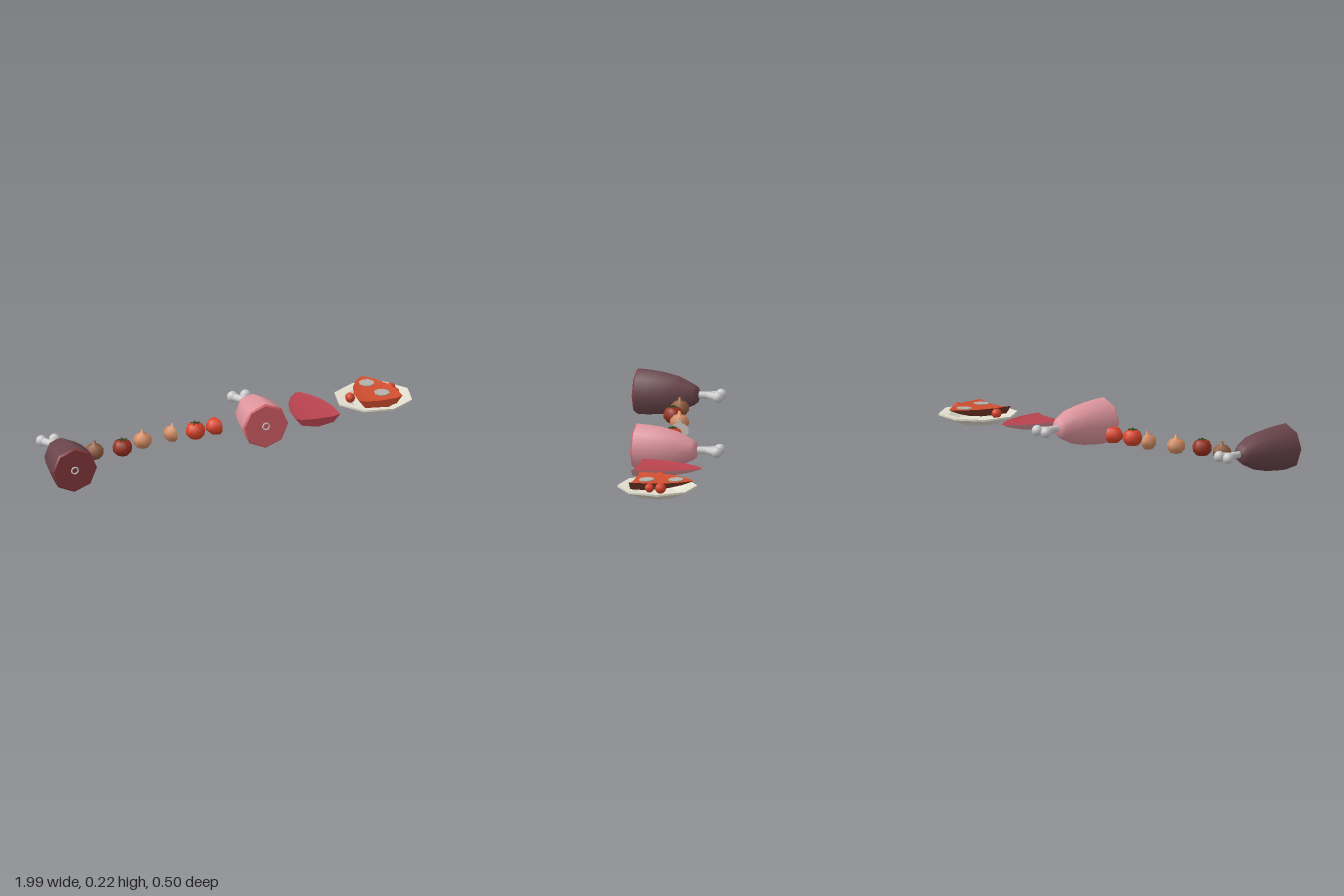
import * as THREE from 'three';

const V2 = (p) => new THREE.Vector2(p[0], p[1]);
const V3 = (x, y, z) => new THREE.Vector3(x, y, z);
const mat = (color, side = THREE.FrontSide) => new THREE.MeshStandardMaterial({ color, side });

function add(parent, name, geometry, color, pos = [0, 0, 0], side) {
  const mesh = new THREE.Mesh(geometry, mat(color, side));
  mesh.name = name;
  mesh.position.set(...pos);
  parent.add(mesh);
  return mesh;
}

function group(parent, name, x, y, z, turn = 0) {
  const g = new THREE.Group();
  g.name = name;
  g.position.set(x, y, z);
  g.rotation.y = turn;
  parent.add(g);
  return g;
}

// Surface through rows of points, smooth within itself
function grid(rows) {
  const n = rows[0].length, index = [];
  for (let i = 0; i < rows.length - 1; i++) {
    for (let j = 0; j < n - 1; j++) {
      const a = i * n + j, c = a + n;
      index.push(a, a + 1, c, a + 1, c + 1, c);
    }
  }
  const g = new THREE.BufferGeometry().setFromPoints(rows.flat());
  g.setIndex(index);
  g.computeVertexNormals();
  return g;
}

// Tapered rod between two points
function rod(a, b, r0, r1) {
  const dir = b.clone().sub(a);
  const g = new THREE.CylinderGeometry(r1, r0, dir.length(), 10);
  g.applyQuaternion(new THREE.Quaternion().setFromUnitVectors(V3(0, 1, 0), dir.normalize()));
  const mid = a.clone().add(b).multiplyScalar(0.5);
  return g.translate(mid.x, mid.y, mid.z);
}

const TURN = -0.235;
const BONE = 0xcccccc;

// Whole leg: skin, cut face and forked bone, lying along -z
function ham(parent, name, x, skin, flesh) {
  const g = group(parent, name, x, 0.112, 0.165, TURN);
  const profile = [[0.111, 0], [0.108, 0.06], [0.101, 0.125], [0.084, 0.2], [0.05, 0.27], [0.036, 0.288], [0.001, 0.297]];
  add(g, 'skin', new THREE.LatheGeometry(profile.map(V2), 8).rotateX(-Math.PI / 2), skin);
  const face = [[0, -0.008], [0.103, -0.008], [0.103, -0.008], [0.111, 0]];
  add(g, 'cutFace', new THREE.LatheGeometry(face.map(V2), 8).rotateX(-Math.PI / 2), flesh);
  add(g, 'boneRing', new THREE.TorusGeometry(0.016, 0.004, 6, 12), BONE, [0, 0, 0.009]);

  const bone = group(g, 'bone', 0, 0, 0);
  const fork = V3(-0.004, 0, -0.35);
  add(bone, 'shaft', rod(V3(0, 0, -0.27), fork, 0.017, 0.018), BONE);
  for (const s of [-1, 1]) {
    const tip = V3(s * 0.032 - 0.006, 0, -0.39);
    add(bone, 'branch', rod(V3(-0.004, 0, -0.335), tip, 0.017, 0.02), BONE);
    add(bone, 'knob', new THREE.SphereGeometry(0.026, 12, 8), BONE, tip.toArray());
  }
}

// Boat-shaped cut from the side of a leg: [distance, half width, depth]
function hamSlice(parent, name, x, y, z, scale, skin, flesh) {
  const g = group(parent, name, x, y, z, TURN);
  g.scale.set(...scale);
  const stations = [[0, 0.111, 0.052], [0.1, 0.106, 0.05], [0.19, 0.085, 0.038], [0.26, 0.052, 0.022], [0.315, 0.01, 0.004]];
  const arc = ([d, w, depth]) => [0, 1, 2, 3, 4].map((k) => {
    const a = Math.PI + k * Math.PI / 4;
    return V3(w * Math.cos(a), depth * Math.sin(a), -d);
  });
  const top = ([d, w, depth]) => arc([d, w, depth * 0.22]);
  add(g, 'skin', grid(stations.map((s) => arc(s).reverse())), skin, [0, 0, 0], THREE.DoubleSide);
  add(g, 'fleshTop', grid(stations.map(top)), flesh, [0, 0, 0], THREE.DoubleSide);
  add(g, 'fleshEnd', grid([arc(stations[0]), top(stations[0])]), flesh, [0, 0, 0], THREE.DoubleSide);
}

// Round vegetable; a half keeps its -x side and shows a cut on +x
function vegetable(parent, name, x, z, profile, color, cut) {
  const g = group(parent, name, x, 0.09, z);
  const points = profile.map(V2);
  const half = cut !== undefined;
  add(g, 'body', new THREE.LatheGeometry(points, half ? 5 : 10, half ? Math.PI : 0, half ? Math.PI : Math.PI * 2), color);
  if (half) {
    const outline = [...points, ...points.slice(1, -1).reverse().map((p) => V2([-p.x, p.y]))];
    add(g, 'cut', new THREE.ShapeGeometry(new THREE.Shape(outline)).rotateY(Math.PI / 2), cut);
  }
  return g;
}

const ONION = [[0, -0.04], [0.026, -0.034], [0.044, -0.012], [0.044, 0.01], [0.03, 0.028], [0.01, 0.036], [0.006, 0.052], [0, 0.052]];
const TOMATO = [[0, -0.038], [0.028, -0.034], [0.045, -0.014], [0.047, 0.006], [0.036, 0.03], [0.016, 0.038], [0, 0.034]];

// Star of thin leaves and a short stem
function leaves(g) {
  for (let i = 0; i < 5; i++) {
    const a = i * Math.PI * 2 / 5;
    const leaf = add(g, 'leaf', new THREE.BoxGeometry(0.022, 0.003, 0.006), 0x3a4a24,
      [0.012 * Math.cos(a), 0.04, -0.012 * Math.sin(a)]);
    leaf.rotation.y = a;
  }
  add(g, 'stem', new THREE.CylinderGeometry(0.003, 0.003, 0.012, 6), 0x3a4a24, [0, 0.042, 0]);
}

export function createModel() {
  const model = new THREE.Group();
  model.name = 'foodSet';

  ham(model, 'cookedHam', -0.888, 0x6a464c, 0x86393f);
  ham(model, 'rawHam', 0.159, 0xdf969e, 0xd9616a);
  hamSlice(model, 'rawSlice', 0.446, 0.098, 0.165, [1, 1, 1], 0xdf969e, 0xb8434e);

  // Row of vegetables
  vegetable(model, 'cookedOnion', -0.66, -0.03, ONION, 0x8f5d40);
  leaves(vegetable(model, 'cookedTomato', -0.525, 0, TOMATO, 0x96301f));
  vegetable(model, 'rawOnion', -0.397, -0.03, ONION, 0xd08a62);
  vegetable(model, 'halfOnion', -0.231, -0.03, ONION, 0xd08a62, 0xd8d0c8);
  leaves(vegetable(model, 'rawTomato', -0.125, 0, TOMATO, 0xd8432a));
  const half = vegetable(model, 'halfTomato', -0.004, 0, TOMATO, 0xd8432a, 0xc83a28);
  half.scale.x = 1.28;

  // Served dish
  const dish = group(model, 'servedDish', 0.81, 0, 0.066);
  const plate = [[0, 0.045], [0.1, 0.045], [0.1, 0.045], [0.187, 0.081], [0.187, 0.081], [0.187, 0.09],
    [0.187, 0.09], [0.14, 0.084], [0.14, 0.084], [0.1, 0.056], [0.1, 0.056], [0, 0.056]];
  add(dish, 'plate', new THREE.LatheGeometry(plate.map(V2), 8), 0xe4e0d0);
  hamSlice(dish, 'cookedSlice', -0.026, 0.122, 0.108, [0.97, 1.1, 0.89], 0x7a3a2a, 0xcf4e30);
  for (const z of [-0.088, 0.05]) {
    const slice = add(dish, 'onionSlice', new THREE.CylinderGeometry(0.037, 0.037, 0.004, 8), 0xb4b0aa, [0.016, 0.122, z]);
    slice.rotation.x = 0.05;
  }
  for (const [x, z, r] of [[-0.118, -0.016, 0.024], [0.104, -0.016, 0.026], [0.096, 0.036, 0.022]]) {
    add(dish, 'tomatoPiece', new THREE.SphereGeometry(r, 8, 6), 0xd8432a, [x, 0.101, z]);
  }
  return model;
}
